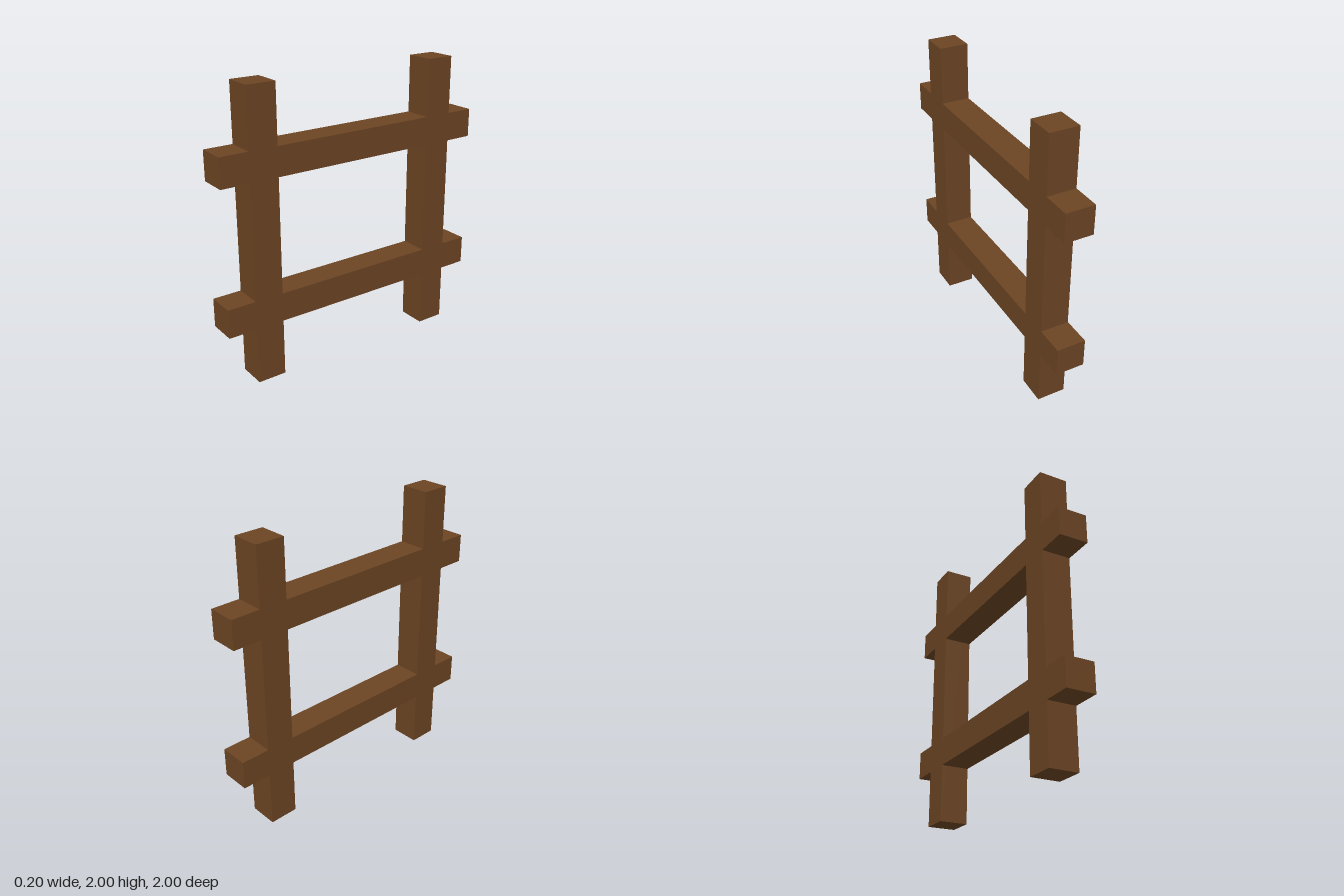
import * as THREE from 'three';

const THICK = 0.2; // square timber section
const LENGTH = 2;

export function createModel() {
  const group = new THREE.Group();
  group.name = 'fenceFrame';
  const wood = new THREE.MeshStandardMaterial({ color: 0x6b4423 });
  wood.name = 'brown wood';

  const addBeam = (name, height, depth, y, z) => {
    const beam = new THREE.Mesh(new THREE.BoxGeometry(THICK, height, depth), wood);
    beam.name = name;
    beam.position.set(0, y, z);
    group.add(beam);
  };

  // Upright posts
  addBeam('frontPost', LENGTH, THICK, 1, 0.7);
  addBeam('backPost', LENGTH, THICK, 1, -0.7);

  // Horizontal rails, flush with the posts: a middle span and two stub ends each
  for (const [name, y] of [['lowerRail', 0.5], ['upperRail', 1.5]]) {
    addBeam(name, THICK, 1.2, y, 0);
    addBeam(name + 'FrontEnd', THICK, THICK, y, 0.9);
    addBeam(name + 'BackEnd', THICK, THICK, y, -0.9);
  }

  return group;
}
